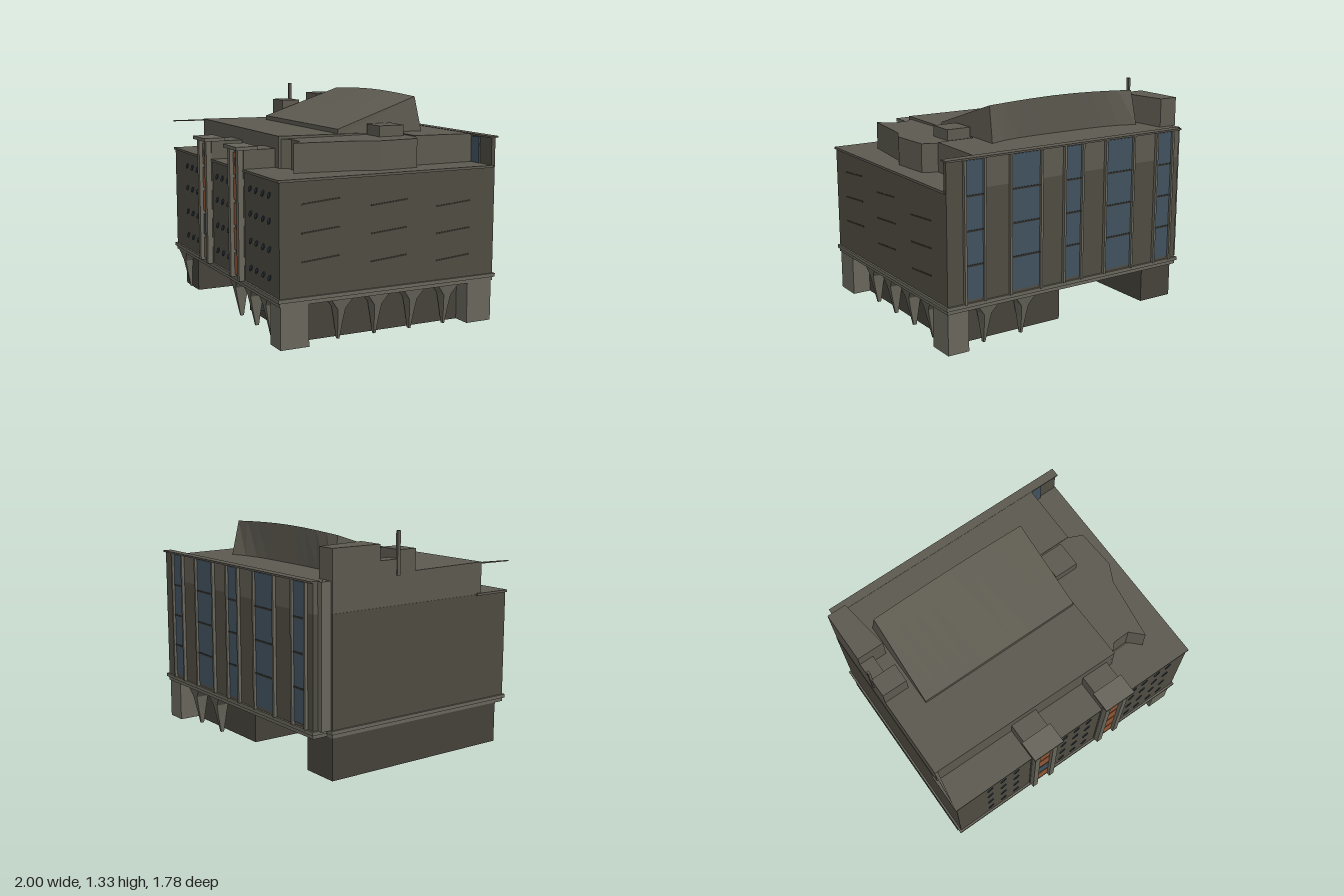
import * as THREE from 'three';

const mat = (color) => new THREE.MeshStandardMaterial({ color, flatShading: true, side: THREE.DoubleSide });
const WALL = mat(0x4f4c41), TRIM = mat(0x68665b), BASE = mat(0x45423a), ROOF = mat(0x5d5a50);
const GLASS = mat(0x41525f), DARK = mat(0x2e3a44), ORANGE = mat(0x935836), SLIT = mat(0x302e28);

export function createModel() {
  const model = new THREE.Group();
  const building = new THREE.Group();
  building.name = 'building';
  building.rotation.y = -0.27; // the block stands askew to the axes
  model.add(building);

  const add = (name, geo, material) => {
    const mesh = new THREE.Mesh(geo, material);
    mesh.name = name;
    building.add(mesh);
    return mesh;
  };
  // box from its limits on x, y and z
  const box = (name, x0, x1, y0, y1, z0, z1, m) =>
    add(name, new THREE.BoxGeometry(x1 - x0, y1 - y0, z1 - z0)
      .translate((x0 + x1) / 2, (y0 + y1) / 2, (z0 + z1) / 2), m);
  // upright prism over a plan of [x, z] points
  const prism = (name, plan, y0, y1, m) => {
    const shape = new THREE.Shape(plan.map(([x, z]) => new THREE.Vector2(x, -z)));
    const geo = new THREE.ExtrudeGeometry(shape, { depth: y1 - y0, bevelEnabled: false });
    return add(name, geo.rotateX(-Math.PI / 2).translate(0, y0, 0), m);
  };
  // plan with a notch at the back left corner, grown by e
  const footprint = (e) => [
    [-0.83 - e, 0.675 + e], [0.835 + e, 0.675 + e], [0.835 + e, -0.69 - e],
    [-0.78 - e, -0.69 - e], [-0.78 - e, -0.6 - e], [-0.83 - e, -0.6 - e],
  ];

  // main body, floor slab and parapet
  prism('body', footprint(0), 0.28, 0.915, WALL);
  prism('slabLower', footprint(0.002), 0.24, 0.262, TRIM);
  prism('slabUpper', footprint(0.012), 0.262, 0.283, TRIM);
  prism('parapet', [[-0.838, 0.683], [0.842, 0.683], [0.842, -0.68], [0.6, -0.68], [0.6, 0.44], [-0.838, 0.44]],
    0.908, 0.922, ROOF);

  // set-back top storey, its roof falling slightly to the back
  const topStorey = prism('topStorey', [[-0.828, 0.475], [0.415, 0.487], [0.405, -0.27], [0.641, -0.271],
    [0.643, -0.69], [-0.78, -0.69], [-0.78, -0.6], [-0.828, -0.6]], 0.915, 1.098, ROOF);
  const top = topStorey.geometry.attributes.position;
  for (let i = 0; i < top.count; i++) {
    if (top.getY(i) > 1) top.setY(i, 1.097 + 0.014 * top.getZ(i));
  }
  prism('topStoreyWing', [[0.4, 0.487], [0.46, 0.428], [0.564, 0.425], [0.636, 0.498], [0.687, 0.121],
    [0.74, 0.013], [0.725, -0.232], [0.641, -0.271], [0.4, -0.271]], 0.915, 1.087, ROOF);
  prism('cornerCanopy', [[-0.845, 0.68], [-0.828, 0.45], [-0.805, 0.45]], 1.093, 1.1, ROOF);
  box('backWallEnd', 0.64, 0.835, 0.915, 1.085, -0.69, -0.665, WALL);
  box('backEaves', -0.785, 0.842, 1.08, 1.09, -0.705, -0.65, ROOF);

  // sloping roof light: sections across x, arched ridge, back hollowed between the flared ends
  const N = 10, positions = [], index = [];
  for (let i = 0; i <= N; i++) {
    const t = i / N, x = -0.64 + 1.04 * t;
    const ridge = 1.298 + 0.018 * Math.sin(Math.PI * t);
    const foot = -0.4 - 0.06 * Math.pow(2 * t - 1, 4);
    [[1.085, 0.105], [1.125, 0.105], [ridge, -0.415], [1.085, foot]].forEach(([y, z], k) =>
      positions.push(k === 2 ? x - 0.02 * (t - 0.5) : x, y, z));
  }
  for (let i = 0; i < N; i++) {
    for (let k = 0; k < 4; k++) {
      const a = i * 4 + k, b = i * 4 + (k + 1) % 4;
      index.push(a, a + 4, b, b, a + 4, b + 4);
    }
  }
  const e = N * 4;
  index.push(0, 1, 2, 0, 2, 3, e, e + 2, e + 1, e, e + 3, e + 2);
  const roofGeo = new THREE.BufferGeometry();
  roofGeo.setAttribute('position', new THREE.Float32BufferAttribute(positions, 3));
  roofGeo.setIndex(index);
  roofGeo.computeVertexNormals();
  add('slopingRoof', roofGeo, ROOF);

  // roof plant rooms and mast
  prism('plantRoomTall', [[-0.828, -0.28], [-0.66, -0.28], [-0.71, -0.6], [-0.828, -0.6]], 1.08, 1.26, ROOF);
  box('plantRoomLink', -0.828, -0.74, 1.08, 1.17, -0.28, -0.15, ROOF);
  box('plantRoomLow', -0.828, -0.67, 1.08, 1.22, -0.15, -0.03, ROOF);
  box('plantRoomRight', 0.41, 0.56, 1.07, 1.15, -0.24, -0.08, ROOF);
  box('mast', -0.835, -0.82, 1.08, 1.325, -0.165, -0.145, ROOF);

  // two stair towers on the front
  for (const [n, cx] of [-0.225, 0.28].entries()) {
    box('stairTower', cx - 0.085, cx + 0.085, 0.28, 1.03, 0.46, 0.68, ROOF);
    box('towerCanopy', cx - 0.1, cx + 0.1, 1.03, 1.05, 0.6, 0.73, TRIM);
    for (const s of [-1, 1]) {
      const x = cx + s * 0.062;
      box('towerPilaster', x - 0.017, x + 0.017, 0.28, 1.03, 0.66, 0.712, TRIM);
    }
    for (let k = 0; k < 5; k++) {
      const y = 0.295 + k * 0.146;
      box('towerPanel', cx - 0.044, cx + 0.044, y, y + 0.128, 0.67, 0.69, n === 0 && k === 1 ? GLASS : ORANGE);
    }
    box('towerWindow', cx - 0.012, cx + 0.012, 0.93, 0.975, 0.68, 0.695, GLASS);
  }

  // small slanted windows on the front
  const frontColumns = [-0.6, -0.506, -0.413, -0.065, 0.023, 0.11, 0.448, 0.53, 0.624, 0.707];
  for (const x of frontColumns) {
    for (const y of [0.375, 0.53, 0.685, 0.825]) {
      const w = add('frontWindow', new THREE.CylinderGeometry(0.02, 0.02, 0.01, 8).rotateX(Math.PI / 2), DARK);
      w.scale.set(1.25, 0.6, 1);
      w.rotation.z = 0.75;
      w.position.set(x, y, 0.675);
    }
  }

  // long slits on the right side
  [0.43, 0.01, -0.41].forEach((z, c) => {
    for (let r = 0; r < 3; r++) {
      const slit = add('sideSlit', new THREE.BoxGeometry(0.004, 0.009, 0.23), SLIT);
      slit.rotation.x = 0.08;
      slit.position.set(0.835, 0.795 - 0.038 * c - 0.157 * r, z);
    }
  });

  // tall windows with fins on the back
  [[0.666, 0.055], [0.334, 0.095], [0.01, 0.055], [-0.322, 0.095], [-0.662, 0.055]].forEach(([x, h]) => {
    box('backWindow', x - h, x + h, 0.3, 1.075, -0.694, -0.655, GLASS);
    for (let k = 1; k < 4; k++) {
      const y = 0.3 + k * 0.194;
      box('windowBar', x - h, x + h, y - 0.005, y + 0.005, -0.697, -0.69, SLIT);
    }
    for (const s of [-1, 1]) {
      const fx = x + s * (h + 0.007);
      box('windowFin', fx - 0.007, fx + 0.007, 0.28, 1.08, -0.709, -0.685, TRIM);
    }
  });
  box('cornerPier', -0.815, -0.782, 0.28, 1.088, -0.66, -0.6, TRIM);

  // ground floor: two blocks with an open passage between
  box('groundLeft', -0.83, -0.6, 0, 0.245, -0.6, 0.615, BASE);
  box('groundRight', 0, 0.72, 0, 0.245, -0.56, 0.5, BASE);
  box('frontPier', 0.7, 0.832, 0, 0.245, 0.5, 0.67, TRIM);
  box('backPier', 0.7, 0.832, 0, 0.245, -0.685, -0.52, TRIM);

  // slanted glazing at the entrance
  const pane = new THREE.Shape([[0.04, 0.01], [0.66, 0.15], [0.66, 0.228], [0.42, 0.228], [0.04, 0.09]]
    .map(([x, y]) => new THREE.Vector2(x, y)));
  add('entranceGlass', new THREE.ExtrudeGeometry(pane, { depth: 0.006, bevelEnabled: false }).translate(0, 0, 0.5), GLASS);

  // fan-shaped columns, slim at the foot and spreading under the slab
  const half = [[0.006, 0], [0.014, 0.1], [0.024, 0.18], [0.07, 0.242]];
  const outline = [...half, ...half.map(([x, y]) => [-x, y]).reverse()].map(([x, y]) => new THREE.Vector2(x, y));
  const fanGeo = new THREE.ExtrudeGeometry(new THREE.Shape(outline), { depth: 0.1, bevelEnabled: false });
  const p = fanGeo.attributes.position;
  for (let i = 0; i < p.count; i++) { // both faces close in towards the foot
    const k = 1 - p.getY(i) / 0.242;
    p.setZ(i, p.getZ(i) < 0.01 ? 0.03 * k : 0.1 - 0.05 * k);
  }
  fanGeo.computeVertexNormals();
  const fan = (x, z, turn) => {
    const f = add('fanColumn', fanGeo, TRIM);
    f.position.set(x, 0, z);
    f.rotation.y = turn;
  };
  fan(-0.73, 0.575, 0);
  for (const x of [0.09, 0.32, 0.54]) fan(x, 0.55, 0);
  for (const z of [0.29, 0.06, -0.17, -0.4]) fan(0.72, z, Math.PI / 2);
  for (const x of [0.31, 0.56]) fan(x, -0.57, Math.PI);

  return model;
}
